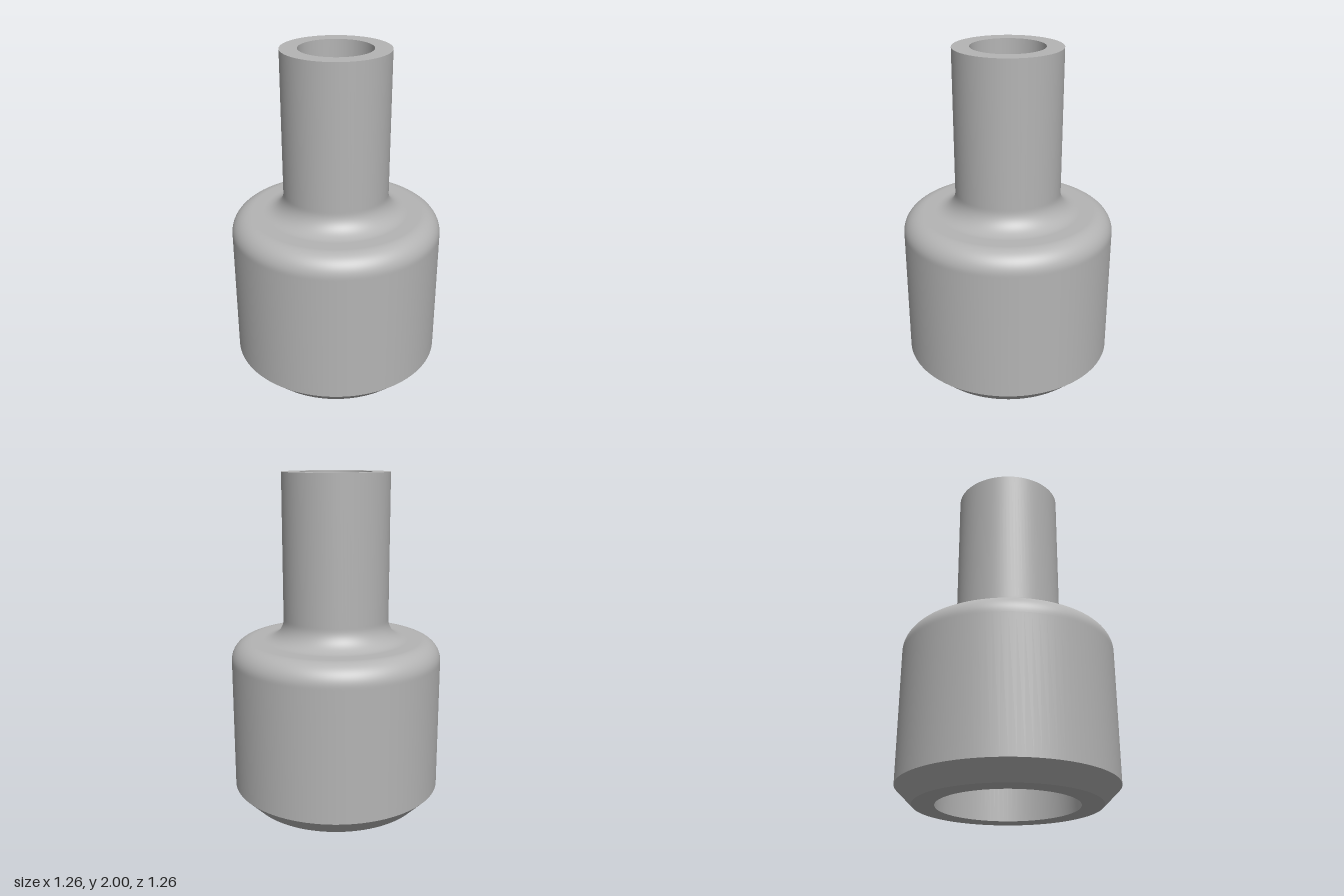
import * as THREE from 'three';

const SEGMENTS = 96;

// Points of a quarter arc in the (radius, height) plane
function arc(cx, cy, r, from, to, steps = 16) {
  return Array.from({ length: steps + 1 }, (_, i) => {
    const a = from + (to - from) * i / steps;
    return [cx + r * Math.cos(a), cy + r * Math.sin(a)];
  });
}

export function createModel() {
  const group = new THREE.Group();
  group.name = 'reducerFitting';

  const metal = new THREE.MeshStandardMaterial({ color: 0xb4b4b4 });
  metal.name = 'grey metal';

  const bodyR = 0.632, baseR = 0.532, neckR = 0.316;
  const socketR = 0.406, boreR = 0.215;
  const chamferY = 0.1, shoulderY = 1.015, stepY = 0.8, topY = 2, fillet = 0.12;

  // Each run is smooth inside and meets the next at a sharp edge
  const turned = (name, profile) => {
    const points = profile.map(([r, y]) => new THREE.Vector2(r, y));
    const mesh = new THREE.Mesh(new THREE.LatheGeometry(points, SEGMENTS), metal);
    mesh.name = name;
    group.add(mesh);
  };

  // Outer skin: chamfer, then body, rounded shoulder, cove and neck
  turned('bottomChamfer', [[baseR, 0], [bodyR, chamferY]]);
  turned('bodyAndNeck', [
    [bodyR, chamferY],
    [bodyR, shoulderY - fillet - 0.01],
    ...arc(bodyR - fillet, shoulderY - fillet, fillet, 0, Math.PI / 2),
    ...arc(neckR + fillet, shoulderY + fillet, fillet, Math.PI * 1.5, Math.PI),
    [neckR, shoulderY + fillet + 0.01],
    [neckR, topY],
  ]);

  // End faces and the stepped through hole
  turned('topRim', [[neckR, topY], [boreR, topY]]);
  turned('neckBore', [[boreR, topY], [boreR, stepY]]);
  turned('innerStep', [[boreR, stepY], [socketR, stepY]]);
  turned('bodySocket', [[socketR, stepY], [socketR, 0]]);
  turned('bottomRim', [[socketR, 0], [baseR, 0]]);

  return group;
}
